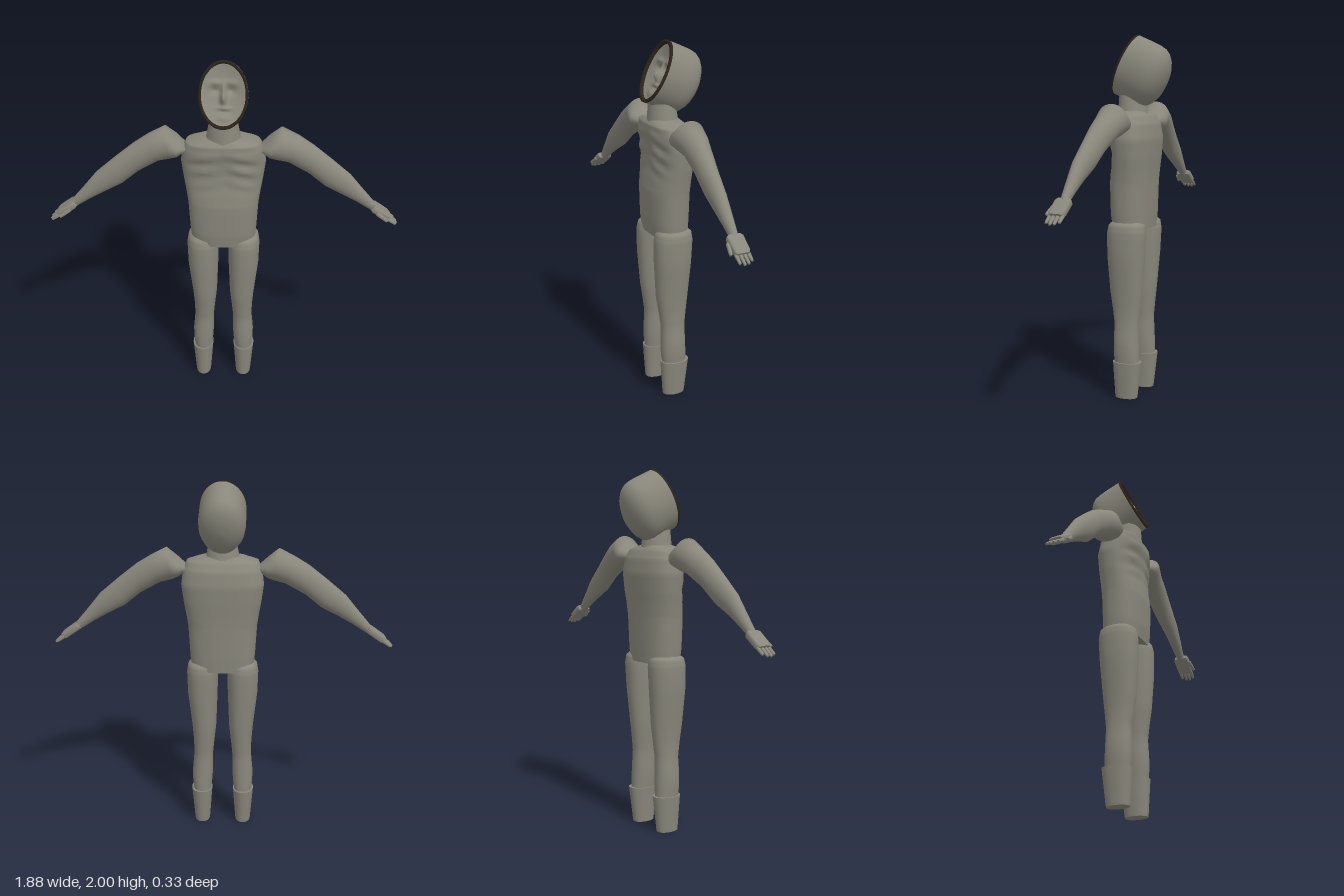
import * as THREE from 'three';

const body = new THREE.MeshStandardMaterial({ color: 0x89877b });
body.name = 'warm grey';
const dark = new THREE.MeshStandardMaterial({ color: 0x2c2419 });
dark.name = 'dark brown';

const V = (x, y, z) => new THREE.Vector3(x, y, z);

// Cross-section: centre c, half axes a and b; power below 1 makes it squarer
function ring(c, a, b, n = 40, power = 1) {
  const bend = (t) => Math.sign(t) * Math.abs(t) ** power;
  return Array.from({ length: n }, (_, i) => {
    const t = (i / n) * Math.PI * 2;
    return c.clone().addScaledVector(a, bend(Math.cos(t))).addScaledVector(b, bend(Math.sin(t)));
  });
}

// Skin joining a row of cross-sections, with optional flat caps
function loft(rings, capStart = false, capEnd = false) {
  const n = rings[0].length, pts = rings.flat(), idx = [];
  for (let r = 0; r < rings.length - 1; r++) {
    for (let j = 0; j < n; j++) {
      const a = r * n + j, b = r * n + (j + 1) % n;
      idx.push(a, b, a + n, b, b + n, a + n);
    }
  }
  const cap = (loop, end) => {
    const base = pts.length;
    const mid = loop.reduce((s, p) => s.add(p), V(0, 0, 0)).divideScalar(n);
    pts.push(...loop, mid);
    for (let j = 0; j < n; j++) {
      const k = (j + 1) % n;
      idx.push(base + n, base + (end ? j : k), base + (end ? k : j));
    }
  };
  if (capStart) cap(rings[0], false);
  if (capEnd) cap(rings[rings.length - 1], true);
  const g = new THREE.BufferGeometry().setFromPoints(pts);
  g.setIndex(idx);
  g.computeVertexNormals();
  return g;
}

function mirrored(geometry) {
  const g = geometry.clone();
  g.scale(-1, 1, 1);
  const ix = g.index.array;
  for (let i = 0; i < ix.length; i += 3) [ix[i], ix[i + 1]] = [ix[i + 1], ix[i]];
  g.computeVertexNormals();
  return g;
}

function add(parent, name, geometry, material = body) {
  const m = new THREE.Mesh(geometry, material);
  m.name = name;
  parent.add(m);
  return m;
}

function addPair(parent, name, geometry) {
  add(parent, name + 'Left', geometry);
  add(parent, name + 'Right', mirrored(geometry));
}

// Upright skin from rows of [y, xMin, xMax, zMin, zMax]
const upright = (rows, power) => rows.map(([y, x0, x1, z0, z1]) =>
  ring(V((x0 + x1) / 2, y, (z0 + z1) / 2), V((x1 - x0) / 2, 0, 0), V(0, 0, (z0 - z1) / 2), 48, power));

// Blend between rows for a smooth outline
function refine(rows, steps) {
  const out = [], last = rows.length - 1;
  for (let i = 0; i < last; i++) {
    for (let s = 0; s < steps; s++) {
      out.push(rows[i].map((v, k) => v + (rows[i + 1][k] - v) * s / steps));
    }
  }
  return [...out, rows[last]];
}

const gauss = (x, y, cx, cy, sx, sy) => Math.exp(-(((x - cx) / sx) ** 2) - ((y - cy) / sy) ** 2);

export function createModel() {
  const model = new THREE.Group();

  // Torso, with shallow folds across the chest
  const torsoRows = [
    [0.95, -0.172, 0.172, -0.062, 0.14], [1.03, -0.18, 0.18, -0.066, 0.15],
    [1.2, -0.19, 0.19, -0.07, 0.152], [1.27, -0.2, 0.2, -0.074, 0.142],
    [1.34, -0.212, 0.212, -0.08, 0.132], [1.44, -0.225, 0.225, -0.086, 0.135],
    [1.52, -0.215, 0.215, -0.074, 0.148], [1.565, -0.195, 0.195, -0.05, 0.145],
    [1.585, -0.13, 0.13, -0.03, 0.13], [1.592, -0.09, 0.09, -0.02, 0.12]];
  const torso = upright(refine(torsoRows, 5), 0.8);
  for (const p of torso.flat()) {
    if (p.z < 0.06) continue;
    const side = Math.abs(p.x);
    p.z += 0.009 * Math.sin((p.y + side * 0.25) * 75) * gauss(side, p.y, 0.1, 1.42, 0.07, 0.1);
    p.z -= 0.008 * gauss(p.x, p.y, 0, 1.45, 0.03, 0.1);
  }
  add(model, 'torso', loft(torso, true, true));

  // Neck
  add(model, 'neck', loft(upright([
    [1.56, -0.095, 0.095, -0.04, 0.135], [1.6, -0.088, 0.088, -0.03, 0.13],
    [1.7, -0.07, 0.07, -0.015, 0.125]], 1), true, true));

  // Head, tilted so the open face looks forward and up
  const head = new THREE.Group();
  head.name = 'head';
  head.position.set(0, 1.843, 0.092);
  head.rotation.x = -0.431;
  model.add(head);
  const RX = 0.125, RY = 0.173;
  const oval = (s, z, dir = 1) => ring(V(0, 0, z), V(RX * s, 0, 0), V(0, RY * s * dir, 0), 64);
  const shell = [[1, -0.01], [1.01, -0.08], [1.01, -0.14], [0.98, -0.175], [0.9, -0.2],
    [0.76, -0.222], [0.55, -0.24], [0.3, -0.249], [0.001, -0.252]];
  add(head, 'headShell', loft(shell.map(([s, z]) => oval(s, z, -1))));
  add(head, 'faceRim', loft([oval(1.005, -0.012), oval(1.005, 0), oval(0.91, 0), oval(0.9, -0.02)]), dark);

  // Face: a shallow bowl with brow, nose, eye hollows and mouth
  const face = [];
  for (let i = 0; i <= 24; i++) {
    const s = 0.92 * (1 - i / 24) + 0.0005;
    const loop = oval(s, 0);
    for (const p of loop) {
      const { x, y } = p, ax = Math.abs(x);
      p.z = -0.012 - 0.03 * (1 - s * s)
        + 0.035 * gauss(x, y, 0, -0.02, 0.016, 0.028) + 0.014 * gauss(x, y, 0, 0.025, 0.012, 0.04)
        - 0.016 * gauss(ax, y, 0.042, 0.022, 0.026, 0.018)
        + 0.01 * gauss(ax, y, 0.04, 0.06, 0.035, 0.015)
        + 0.012 * gauss(x, y, 0, -0.068, 0.035, 0.009) - 0.008 * gauss(x, y, 0, -0.083, 0.035, 0.006)
        + 0.012 * gauss(x, y, 0, -0.115, 0.03, 0.02);
    }
    face.push(loop);
  }
  add(head, 'face', loft(face));

  // Arms, from rows of [topX, topY, bottomX, bottomY, zMin, zMax]
  const armRows = [
    [0.196, 1.54, 0.2, 1.505, 0.0, 0.09], [0.25, 1.588, 0.24, 1.475, -0.045, 0.13],
    [0.306, 1.635, 0.275, 1.46, -0.048, 0.13], [0.39, 1.592, 0.34, 1.443, -0.034, 0.112],
    [0.47, 1.542, 0.45, 1.38, -0.012, 0.106], [0.57, 1.462, 0.54, 1.305, 0.004, 0.102],
    [0.675, 1.372, 0.635, 1.255, 0.018, 0.098], [0.746, 1.285, 0.715, 1.21, 0.027, 0.09],
    [0.822, 1.195, 0.8, 1.155, 0.038, 0.08]];
  const arm = armRows.map(([tx, ty, bx, by, z0, z1]) => ring(
    V((tx + bx) / 2, (ty + by) / 2, (z0 + z1) / 2),
    V(0, 0, (z1 - z0) / 2), V((bx - tx) / 2, (by - ty) / 2, 0), 32));
  addPair(model, 'arm', loft(arm, true, true));

  // Hands: tapered segments laid along x, then tipped down along the forearm
  const segment = (len, thick, wide, endScale, power) => loft([0, 0.12, 0.85, 1].map((t) => {
    const s = (1 + (endScale - 1) * t) * (t === 0 || t === 1 ? 0.8 : 1);
    return ring(V(len * t, 0, 0), V(0, 0, wide * s / 2), V(0, -thick * s / 2, 0), 16, power);
  }), true, true);
  const place = (g, x, y, z) => g.translate(x, y, z).rotateZ(-0.61).translate(0.8, 1.185, 0.06);
  addPair(model, 'palm', place(segment(0.115, 0.042, 0.092, 0.95, 0.5), 0, 0, 0));
  [0.042, 0.055, 0.058, 0.048].forEach((len, i) =>
    addPair(model, 'finger' + (i + 1), place(segment(len + 0.01, 0.019, 0.02, 0.75, 0.8), 0.104, -0.004, -0.034 + i * 0.0225)));
  addPair(model, 'thumb', place(segment(0.07, 0.022, 0.022, 0.75, 0.8).rotateY(-0.2), 0.035, -0.006, 0.044));

  // Legs
  const legRows = [
    [1.0, 0.05, 0.165, -0.03, 0.11], [0.975, 0.032, 0.193, -0.06, 0.14],
    [0.93, 0.026, 0.2, -0.067, 0.15], [0.8, 0.029, 0.196, -0.06, 0.149],
    [0.6, 0.037, 0.173, -0.045, 0.137], [0.5, 0.048, 0.165, -0.034, 0.122],
    [0.42, 0.056, 0.164, -0.025, 0.111], [0.32, 0.056, 0.173, -0.027, 0.114],
    [0.26, 0.06, 0.173, -0.029, 0.114], [0.19, 0.067, 0.167, -0.03, 0.108]].reverse();
  addPair(model, 'leg', loft(upright(refine(legRows, 3), 0.9), true, true));

  // Boots
  addPair(model, 'boot', loft(upright([
    [0, 0.076, 0.16, -0.02, 0.105], [0.015, 0.074, 0.162, -0.023, 0.107],
    [0.205, 0.06, 0.178, -0.045, 0.118]], 0.9), true, true));

  return model;
}
